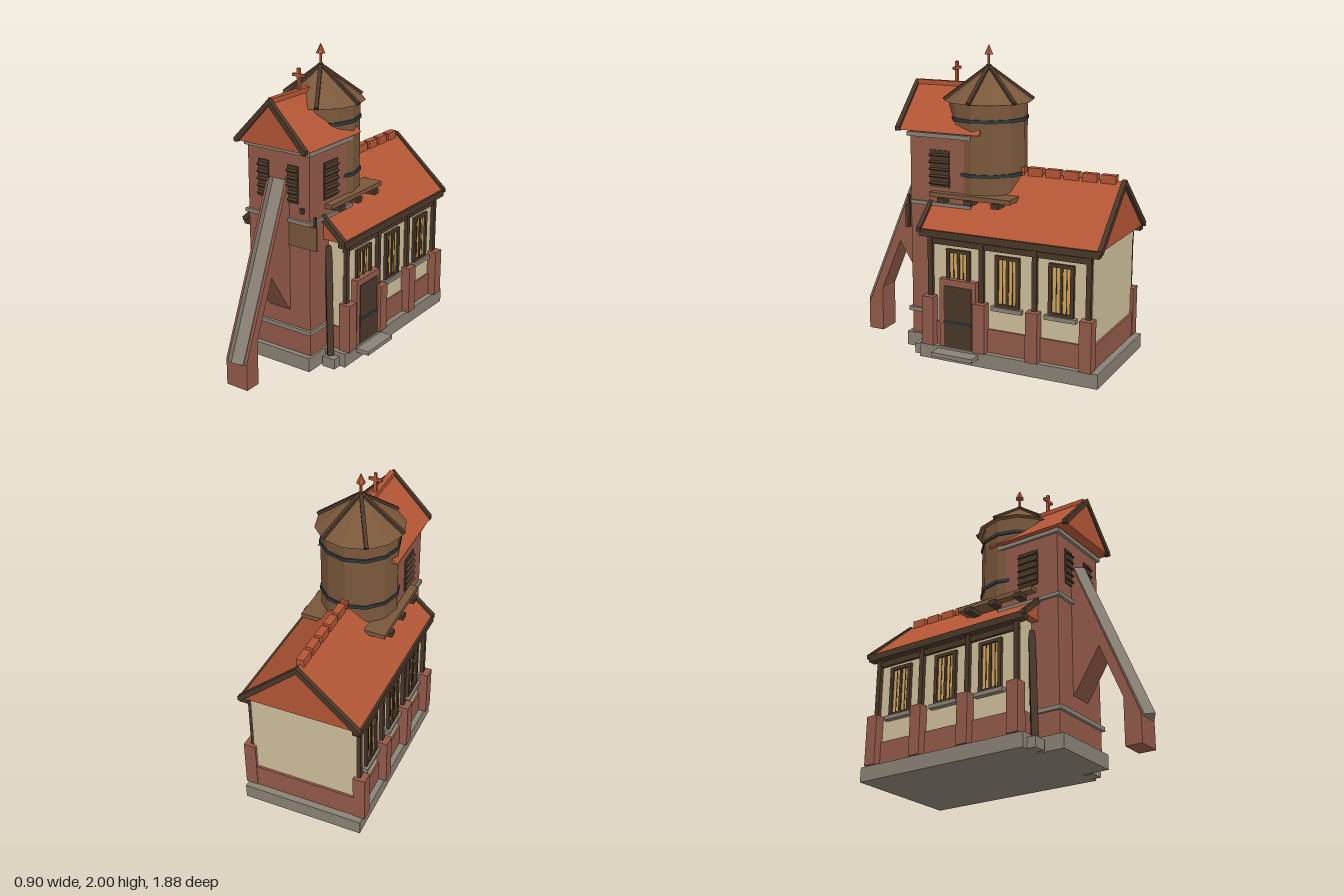
import * as THREE from 'three';

const CX = -0.04; // centre line of the building

export function createModel() {
  const model = new THREE.Group();
  const mat = (name, color) => {
    const m = new THREE.MeshStandardMaterial({ color });
    m.name = name;
    return m;
  };
  const brick = mat('brick', 0x935a4a);
  const tile = mat('roof tile', 0xb45636);
  const plaster = mat('plaster', 0xcfbf9b);
  const timber = mat('dark timber', 0x4a3729);
  const plank = mat('plank wood', 0x7a583b);
  const stone = mat('stone', 0x8a8275);
  const iron = mat('iron', 0x30383c);
  const glass = mat('window glass', 0xcfa75c);

  const add = (name, geo, material, parent = model) => {
    const m = new THREE.Mesh(geo, material);
    m.name = name;
    parent.add(m);
    return m;
  };
  // box given by its limits, x measured from the centre line
  const block = (name, material, x0, x1, y0, y1, z0, z1, parent = model) => {
    const m = add(name, new THREE.BoxGeometry(x1 - x0, y1 - y0, z1 - z0), material, parent);
    m.position.set((parent === model ? CX : 0) + (x0 + x1) / 2, (y0 + y1) / 2, (z0 + z1) / 2);
    return m;
  };
  // bar between two points, x measured from the centre line
  const bar = (name, material, a, b, w, h) => {
    const p = new THREE.Vector3(...a), q = new THREE.Vector3(...b);
    p.x += CX;
    q.x += CX;
    const m = add(name, new THREE.BoxGeometry(w, h, p.distanceTo(q)), material);
    m.position.copy(p).add(q).multiplyScalar(0.5);
    m.lookAt(q);
    return m;
  };
  const extrude = (points, depth) => new THREE.ExtrudeGeometry(
    new THREE.Shape(points.map(p => new THREE.Vector2(...p))), { depth, bevelEnabled: false });
  const prism = (name, material, points, z0, z1) => {
    add(name, extrude(points, z1 - z0), material).position.set(CX, 0, z0);
  };
  const drum = (name, material, rTop, rBottom, y0, y1, sides, z = 0) => {
    const geo = new THREE.CylinderGeometry(rTop, rBottom, y1 - y0, sides).toNonIndexed();
    geo.computeVertexNormals();
    add(name, geo, material).position.set(CX, (y0 + y1) / 2, z);
  };
  const bargeBoard = (name, w, eave, ridge, z0, z1) => prism(name, timber, [
    [-w, eave - 0.012], [-w + 0.025, eave - 0.012], [0, ridge - 0.028], [w - 0.025, eave - 0.012],
    [w, eave - 0.012], [w, eave + 0.014], [0, ridge + 0.014], [-w, eave + 0.014]], z0, z1);

  // Hall: base, plinth, walls and roof
  block('hallBase', stone, -0.4, 0.4, 0, 0.095, -0.93, 0.3);
  block('hallPlinth', brick, -0.362, 0.362, 0.095, 0.25, -0.885, 0.26);
  block('hallWalls', plaster, -0.35, 0.35, 0.25, 0.85, -0.87, 0.25);
  prism('hallRoof', tile, [[-0.4, 0.845], [0.4, 0.845], [0, 1.205]], -0.92, 0.3);
  bargeBoard('hallFrontBarge', 0.402, 0.85, 1.203, 0.285, 0.315);
  bargeBoard('hallBackBarge', 0.402, 0.85, 1.203, -0.94, -0.91);
  for (let i = 0; i < 6; i++) {
    const z = -0.165 - i * 0.1225;
    block('ridgeTile', tile, -0.024, 0.024, 1.185, 1.238, z - 0.1, z);
  }

  // Side walls: pilasters, posts, beams and windows, on both sides
  for (const s of [-1, 1]) {
    const side = new THREE.Group();
    side.name = s > 0 ? 'leftSideDetails' : 'rightSideDetails';
    side.position.x = CX;
    side.rotation.y = s > 0 ? 0 : Math.PI;
    model.add(side);
    // z is flipped on the turned side
    const part = (name, m, x0, x1, y0, y1, z0, z1) =>
      block(name, m, x0, x1, y0, y1, s > 0 ? z0 : -z1, s > 0 ? z1 : -z0, side);
    for (const z of [0.232, -0.133, -0.495, -0.85]) {
      part('pilaster', brick, 0.335, 0.415, 0.095, 0.42, z - 0.04, z + 0.04);
      part('post', timber, 0.34, 0.375, 0.42, 0.83, z - 0.016, z + 0.016);
    }
    part('wallBeam', timber, 0.345, 0.368, 0.763, 0.8, -0.87, 0.25);
    part('eaveBeam', timber, 0.345, 0.4, 0.812, 0.858, -0.92, 0.3);
    for (const z of [0.035, -0.308, -0.67]) {
      part('windowPane', glass, 0.349, 0.357, 0.42, 0.73, z - 0.07, z + 0.07);
      for (const d of [-0.072, 0.072])
        part('windowJamb', timber, 0.35, 0.37, 0.41, 0.74, z + d - 0.012, z + d + 0.012);
      part('windowMullion', timber, 0.35, 0.364, 0.42, 0.73, z - 0.009, z + 0.009);
      for (const d of [-0.034, 0.034])
        part('glazingBar', timber, 0.35, 0.36, 0.42, 0.73, z + d - 0.003, z + d + 0.003);
      part('windowHead', timber, 0.35, 0.37, 0.718, 0.74, z - 0.084, z + 0.084);
      part('windowFoot', timber, 0.35, 0.37, 0.41, 0.428, z - 0.084, z + 0.084);
      part('windowSill', stone, 0.35, 0.385, 0.383, 0.41, z - 0.105, z + 0.105);
    }
    // raking struts beside the tower, with footings
    bar('strut', timber, [s * 0.3, 0.06, 0.315], [s * 0.235, 0.79, 0.25], 0.042, 0.03);
    block('strutFooting', stone, s * 0.315 - 0.045, s * 0.315 + 0.045, 0, 0.068, 0.28, 0.36);
  }

  // Door and step
  block('doorSurround', brick, 0.34, 0.393, 0.07, 0.548, -0.105, 0.155);
  block('door', timber, 0.39, 0.398, 0.1, 0.505, -0.074, 0.122);
  block('doorBand', iron, 0.395, 0.402, 0.252, 0.272, -0.074, 0.122);
  block('doorStep', stone, 0.38, 0.49, 0.053, 0.08, -0.125, 0.165);

  // Tower: base, shaft, ledges and roof
  block('towerBase', stone, -0.25, 0.25, 0, 0.095, 0.1, 0.48);
  block('towerShaft', brick, -0.235, 0.235, 0.095, 1.46, 0.0, 0.445);
  for (const [y0, y1] of [[0.245, 0.272], [0.978, 1.002], [1.42, 1.448]])
    block('towerLedge', stone, -0.25, 0.25, y0, y1, 0.005, 0.465);
  prism('towerRoof', tile, [[-0.268, 1.458], [0.268, 1.458], [0, 1.742]], -0.06, 0.525);
  bargeBoard('towerBarge', 0.27, 1.463, 1.741, 0.505, 0.537);
  block('towerRidgeCap', tile, -0.018, 0.018, 1.725, 1.755, 0.1, 0.51);
  block('crossPost', tile, -0.009, 0.009, 1.73, 1.885, 0.22, 0.238);
  block('crossArm', tile, -0.045, 0.045, 1.832, 1.85, 0.22, 0.238);

  // Louvred openings on the front and both sides of the tower
  const louvre = (x, z, turn, w) => {
    const g = new THREE.Group();
    g.name = 'louvre';
    g.position.set(CX + x, 1.222, z);
    g.rotation.y = turn;
    model.add(g);
    block('louvreBack', timber, -w / 2, w / 2, -0.12, 0.12, -0.005, 0.008, g);
    for (let i = 0; i < 5; i++) {
      const y = -0.092 + i * 0.046;
      const slat = block('slat', timber, -w / 2, w / 2, y - 0.004, y + 0.004, -0.005, 0.025, g);
      slat.rotation.x = 0.5;
    }
  };
  louvre(-0.112, 0.445, 0, 0.08);
  louvre(0.112, 0.445, 0, 0.08);
  louvre(0.235, 0.23, Math.PI / 2, 0.14);
  louvre(-0.235, 0.23, -Math.PI / 2, 0.14);

  // Hanging board on the tower front
  block('hangingBoard', plank, 0.085, 0.295, 0.825, 0.978, 0.447, 0.457);
  block('boardPost', timber, 0.265, 0.28, 0.825, 1.04, 0.432, 0.447);
  block('boardPeg', timber, 0.172, 0.196, 1.05, 1.082, 0.43, 0.465);

  // Arched buttress with a ridged stone cap
  const arch = extrude([[0.89, 0], [0.89, 0.18], [0.46, 1.23], [0.43, 1.23], [0.43, 0.36],
    [0.478, 0.42], [0.63, 0.66], [0.78, 0.3], [0.78, 0]], 0.16);
  arch.translate(0, 0, -0.08);
  arch.rotateY(-Math.PI / 2);
  add('buttress', arch, brick).position.x = CX;
  const start = new THREE.Vector3(CX, 0.17, 0.89), end = new THREE.Vector3(CX, 1.24, 0.445);
  const cap = add('buttressCap',
    extrude([[-0.06, -0.005], [0.06, -0.005], [0.06, 0.012], [0, 0.055], [-0.06, 0.012]],
      start.distanceTo(end)), stone);
  cap.position.copy(start);
  cap.lookAt(end);

  // Water tank on its platform
  block('platform', plank, -0.285, 0.285, 1.045, 1.075, -0.285, 0.285);
  for (const z of [-0.19, 0, 0.19])
    block('joist', timber, -0.305, 0.305, 1.015, 1.048, z - 0.025, z + 0.025);
  drum('tank', plank, 0.25, 0.25, 1.07, 1.66, 12);
  drum('lowerHoop', iron, 0.258, 0.258, 1.185, 1.208, 12);
  drum('upperHoop', iron, 0.258, 0.258, 1.53, 1.553, 12);
  drum('tankRoof', plank, 0.005, 0.285, 1.648, 1.86, 12);
  for (let i = 0; i < 6; i++) {
    const a = i * Math.PI / 3;
    bar('roofRib', timber, [0.287 * Math.cos(a), 1.654, 0.287 * Math.sin(a)], [0, 1.866, 0], 0.024, 0.022);
  }
  drum('finialRod', tile, 0.009, 0.009, 1.85, 1.95, 6);
  drum('finialTip', tile, 0.001, 0.03, 1.938, 2.0, 6);

  return model;
}
